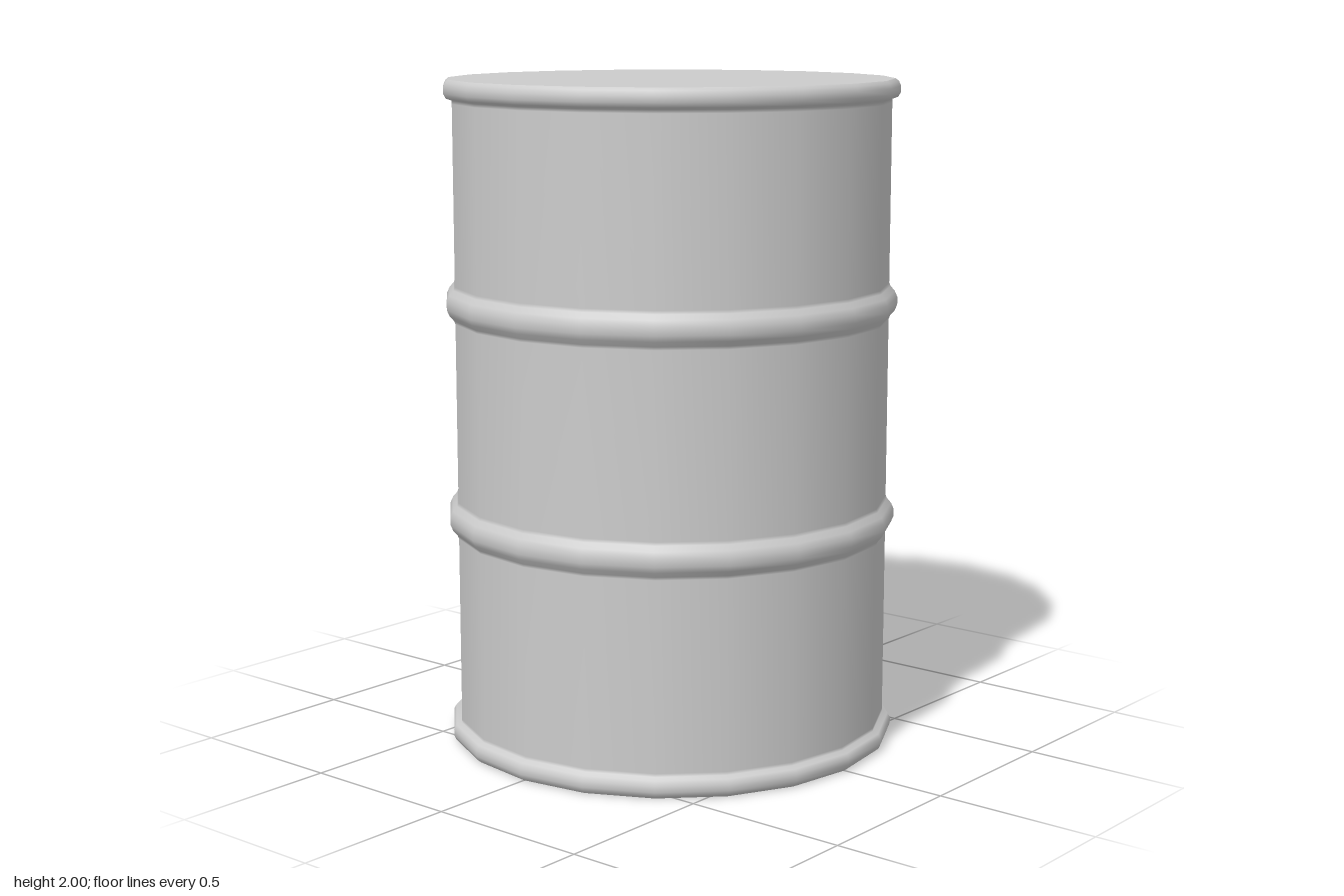
import * as THREE from 'three';

const SIDES = 20;
const WALL = 0.655;

export function createModel() {
  const group = new THREE.Group();
  group.name = 'barrel';
  const steel = new THREE.MeshStandardMaterial({ color: 0xcccccc });
  steel.name = 'grey steel';

  const add = (name, geometry) => {
    const mesh = new THREE.Mesh(geometry, steel);
    mesh.name = name;
    group.add(mesh);
    return mesh;
  };

  // Rounded bead that swells out of the wall around height y
  const bead = (y) => [
    [WALL, y - 0.055], [WALL + 0.004, y - 0.045], [0.672, y - 0.03], [0.68, y - 0.012],
    [0.68, y + 0.012], [0.672, y + 0.03], [WALL + 0.004, y + 0.045], [WALL, y + 0.055],
  ];

  // Half profile of the shell, from the bottom rim to the top rim
  const rim = [[0.664, 0], [0.674, 0.008], [0.68, 0.022], [0.68, 0.04], [0.672, 0.054], [WALL, 0.06], [WALL, 0.07]];
  const topRim = rim.map(([r, y]) => [r, 2 - y]).reverse();
  const profile = [...rim, ...bead(0.69), ...bead(1.34), ...topRim];
  add('shell', new THREE.LatheGeometry(profile.map(([r, y]) => new THREE.Vector2(r, y)), SIDES));

  // Flat end caps
  const lid = add('lid', new THREE.CircleGeometry(0.664, SIDES));
  lid.rotation.x = -Math.PI / 2;
  lid.position.y = 2;
  const base = add('base', new THREE.CircleGeometry(0.664, SIDES));
  base.rotation.x = Math.PI / 2;

  return group;
}
